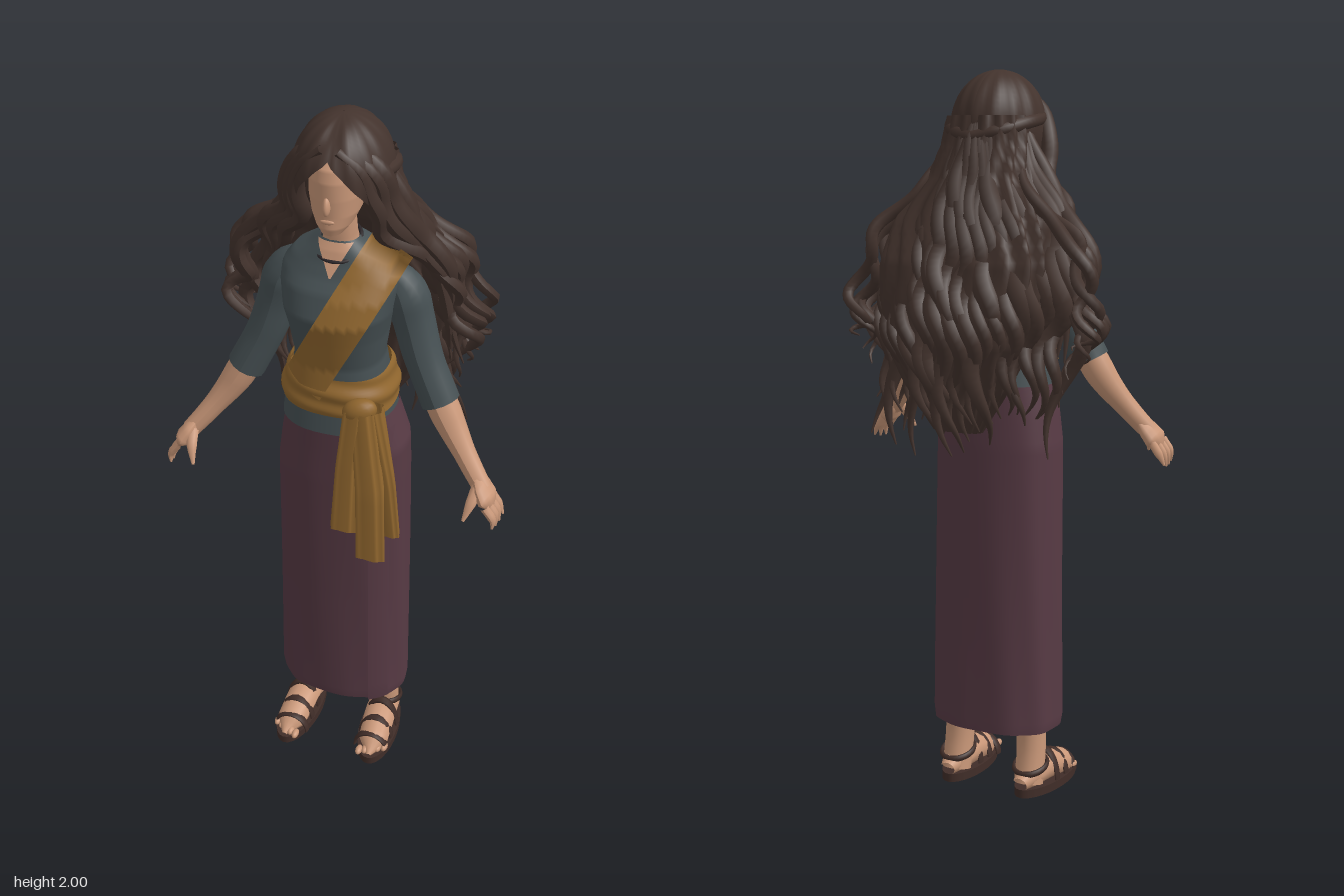
import * as THREE from 'three';
import { ParametricGeometry } from 'three/addons/geometries/ParametricGeometry.js';

const mat = (name, color, side = THREE.DoubleSide) => {
  const m = new THREE.MeshStandardMaterial({ color, side });
  m.name = name;
  return m;
};
const lerp = THREE.MathUtils.lerp;
const V = (p) => new THREE.Vector3(...p);
const spow = (v, e) => Math.sign(v) * Math.pow(Math.abs(v), e);

// Cross-section at height y from rows [y, halfWidth, zFront, zBack, xCentre]
function at(secs, y) {
  let i = 0;
  while (i < secs.length - 2 && y > secs[i + 1][0]) i++;
  const a = secs[i], b = secs[i + 1];
  const t = THREE.MathUtils.clamp((y - a[0]) / (b[0] - a[0]), 0, 1);
  return [1, 2, 3, 4].map((k) => lerp(a[k] ?? 0, b[k] ?? 0, t));
}
const N = 2.4; // roundness of the body sections

// Skin through stacked sections; grow offsets it, ridge(a, y) ripples it
function loft(secs, { grow = () => 0, ridge = () => 1, rows = 32, segs = 40, n = N } = {}) {
  const y0 = secs[0][0], y1 = secs[secs.length - 1][0];
  return new ParametricGeometry((u, v, p) => {
    const a = u * Math.PI * 2 - Math.PI, y = lerp(y0, y1, v);
    const [hw, zf, zb, xc] = at(secs, y), g = grow(v, a), r = ridge(a, y);
    p.set(xc + (hw + g) * r * spow(Math.sin(a), 2 / n), y,
      (zf + zb) / 2 + ((zf - zb) / 2 + g) * r * spow(Math.cos(a), 2 / n));
  }, segs, rows);
}
// Depth of a section stack at (x, y); dir +1 is front, -1 is back
function surf(secs, x, y, dir, g) {
  const [hw, zf, zb, xc] = at(secs, y);
  const k = Math.min(Math.abs(x - xc) / (hw + g), 1);
  return (zf + zb) / 2 + dir * ((zf - zb) / 2 + g) * Math.pow(1 - Math.pow(k, N), 1 / N);
}
// Tube with changing radius and an optional squash per axis
function taper(pts, radii, seg = 16, sides = 10, squash = [1, 1, 1]) {
  const curve = new THREE.CatmullRomCurve3(pts.map(V));
  const g = new THREE.TubeGeometry(curve, seg, 1, sides), pos = g.attributes.position;
  const p = new THREE.Vector3(), sq = V(squash);
  for (let i = 0; i < pos.count; i++) {
    const t = Math.floor(i / (sides + 1)) / seg, c = curve.getPointAt(t);
    const f = t * (radii.length - 1), j = Math.min(Math.floor(f), radii.length - 2);
    p.fromBufferAttribute(pos, i).sub(c).multiply(sq).multiplyScalar(lerp(radii[j], radii[j + 1], f - j)).add(c);
    pos.setXYZ(i, p.x, p.y, p.z);
  }
  g.computeVertexNormals();
  return g;
}

const TORSO = [[1.165, .152, .215, -.05], [1.22, .145, .21, -.042], [1.3, .125, .2, -.03],
  [1.36, .116, .195, -.02], [1.44, .128, .21, -.03], [1.5, .142, .222, -.035], [1.56, .152, .2, -.035],
  [1.6, .152, .17, -.03], [1.64, .12, .15, -.01], [1.67, .075, .14, .01], [1.69, .05, .13, .04]];
const SKIRT = [[.19, .183, .185, -.07, .003], [.22, .188, .188, -.07, .003], [.6, .184, .192, -.06, .004],
  [1, .18, .2, -.05, .006], [1.1, .172, .2, -.045, .012], [1.2, .145, .2, -.04, .005]];
const HEAD = [[1.72, .004, .16, .14], [1.727, .028, .178, .09], [1.75, .046, .187, .05], [1.78, .06, .187, .03],
  [1.82, .069, .19, 0], [1.87, .072, .192, -.03], [1.9, .068, .186, -.03], [1.93, .056, .162, -.02], [1.965, .02, .1, 0]];
const MANE = [[1.06, .07, -.14, -.19], [1.18, .15, -.115, -.23], [1.3, .21, -.09, -.25], [1.4, .235, -.06, -.235],
  [1.5, .24, -.05, -.215], [1.6, .225, -.03, -.17], [1.65, .2, 0, -.15], [1.72, .15, .06, -.125],
  [1.8, .125, .1, -.1], [1.88, .11, .1, -.085]];

export function createModel() {
  const skin = mat('skin', 0xca9879, THREE.FrontSide), hair = mat('hair', 0x43332d);
  const shirt = mat('shirt', 0x465053), sash = mat('sash', 0x90662e), skirt = mat('skirt', 0x573a44);
  const leather = mat('sandal leather', 0x402d28), beads = mat('beads', 0x2b2528);
  const model = new THREE.Group();
  const add = (name, geo, m, pos, scale, rot) => {
    const mesh = new THREE.Mesh(geo, m);
    mesh.name = name;
    if (pos) mesh.position.set(...pos);
    if (scale) mesh.scale.set(...scale);
    if (rot) mesh.rotation.set(...rot);
    model.add(mesh);
  };
  const ball = new THREE.SphereGeometry(1, 16, 12);

  // Head and neck
  add('head', loft(HEAD, { n: 2.1 }), skin);
  add('nose', ball, skin, [0, 1.812, .187], [.01, .026, .016], [-.25, 0, 0]);
  add('lips', ball, skin, [0, 1.768, .184], [.018, .007, .006]);
  add('neck', taper([[0, 1.6, .07], [0, 1.68, .085], [0, 1.78, .1]], [.058, .045, .043]), skin);
  add('neckline', new ParametricGeometry((u, v, p) => {
    const y = lerp(1.605, 1.688, v), x = (u * 2 - 1) * (.002 + .044 * v);
    p.set(x, y, surf(TORSO, x, y, 1, .005));
  }, 10, 10), skin);
  for (const [y, z, r] of [[1.682, .088, .052], [1.664, .094, .063]])
    add('necklace', new THREE.TorusGeometry(r, .005, 6, 28), beads, [0, y, z], [1, 1, 1], [Math.PI / 2 + .35, 0, 0]);

  // Clothes
  add('shirt', loft(TORSO), shirt);
  add('skirt', loft(SKIRT, { segs: 64,
    ridge: (a, y) => 1 + .012 * Math.sin(a * 9 + y * 4) * (1.25 - y) }), skirt);
  add('skirtOverlap', new ParametricGeometry((u, v, p) => {
    const y = lerp(.195, 1.17, v), x = lerp(.112, .16, u);
    p.set(x, y, surf(SKIRT, x, y, 1, .012 - .008 * u));
  }, 6, 16), skirt);
  const belt = [1.225, 1.25, 1.28, 1.31, 1.33].map((y) => [y, ...at(TORSO, y)]);
  add('waistSash', loft(belt, { rows: 16, segs: 48,
    grow: (v, a) => .008 + .01 * Math.sin(v * Math.PI) + .003 * Math.sin(v * 12 + a * 2) }), sash);
  add('shoulderSash', new ParametricGeometry((u, v, p) => {
    const dir = v < .5 ? 1 : -1, k = 1 - Math.abs(v * 2 - 1), e = (u * 2 - 1) * .059;
    const x = lerp(-.064, .13, k) + e * .87, y = lerp(1.3, 1.67, k) - e * .48;
    const top = THREE.MathUtils.smoothstep(k, .93, 1);
    p.set(x, y, lerp(surf(TORSO, x, y, dir, .018), .068, top));
  }, 10, 60), sash);
  add('sashKnot', ball, sash, [.095, 1.265, .222], [.046, .034, .03], [0, .2, .3]);
  const tails = [
    [[.91, .036, .285, .258, .068], [1.1, .032, .268, .235, .072], [1.27, .03, .25, .2, .085]],
    [[.84, .04, .298, .262, .145], [1.05, .038, .28, .235, .135], [1.27, .03, .25, .2, .105]],
    [[.88, .024, .235, .205, .183], [1.05, .026, .235, .2, .165], [1.27, .025, .235, .18, .125]]];
  for (const t of tails)
    add('sashTail', loft(t, { rows: 10, segs: 24, n: 3, ridge: (a) => 1 + .1 * Math.sin(a * 6) }), sash);

  for (const s of [1, -1]) {
    // Arm and hand
    const P = (...pts) => pts.map(([x, y, z]) => [s * x, y, z]);
    add('sleeve', taper(P([.1, 1.6, .06], [.152, 1.55, .053], [.18, 1.46, .05], [.212, 1.36, .062], [.268, 1.24, .08]),
      [.03, .058, .054, .051, .052], 22, 14), shirt);
    add('forearm', taper(P([.24, 1.3, .075], [.3, 1.19, .095], [.365, 1.1, .13], [.41, 1.045, .155]),
      [.043, .042, .03, .025], 16, 12), skin);
    add('palm', taper(P([.385, 1.08, .138], [.41, 1.045, .155], [.43, 1.015, .165], [.442, .99, .172]),
      [.016, .033, .038, .004], 14, 12, [.6, .8, 1.3]), skin);
    for (let k = 0; k < 4; k++) {
      const z = .127 + k * .024;
      add('finger', taper(P([.428, 1.02, z + .003], [.452, .985, z + .004], [.464 - k * .004, .95 + Math.abs(k - 1.5) * .006, z + .008]),
        [.012, .0115, .003], 8, 7), skin);
    }
    add('thumb', taper(P([.4, 1.055, .165], [.39, 1.02, .2], [.378, .98, .225]), [.018, .014, .004], 8, 7), skin);

    // Leg, foot and sandal
    add('leg', taper(P([.105, .5, .045], [.112, .25, .04], [.117, .12, .037], [.118, .03, .02]),
      [.054, .052, .042, .042], 14, 14), skin);
    add('foot', taper(P([.118, .04, -.032], [.12, .052, .02], [.123, .058, .09], [.128, .044, .16], [.132, .033, .21], [.133, .028, .243]),
      [.022, .041, .047, .046, .043, .006], 24, 14, [1, .9, 1]), skin);
    for (let k = 0; k < 5; k++)
      add('toe', ball, skin, [s * (.101 + k * .017), .031, .234 - k * .009], [.01, .011, .018]);
    add('sandalSole', new THREE.CylinderGeometry(1, 1, .024, 28), leather,
      [s * .125, .012, .11], [.057, 1, .142], [0, s * .06, 0]);
    for (const [z, h] of [[.195, .068], [.145, .086], [.09, .108]])
      add('sandalStrap', new THREE.TorusGeometry(1, .1, 6, 16, Math.PI), leather, [s * .126, .016, z], [.049, h - .014, .13]);
    add('heelStrap', new THREE.TorusGeometry(.046, .006, 6, 24), leather, [s * .119, .08, .03], [1, 1.15, 1.6], [Math.PI / 2 - .25, 0, 0]);
  }

  // Hair cap with a centre parting, open over the face
  add('hairCap', new ParametricGeometry((u, v, p) => {
    const a = u * Math.PI * 2 - Math.PI, f = Math.abs(a);
    const edge = Math.asin(Math.max(.54 - .95 * f, -.6)), e = lerp(edge, Math.PI / 2 - .01, v);
    const w = 1 + .015 * Math.sin(f * 14 + v * 4);
    const x = .124 * w * Math.sin(a) * Math.cos(e), z = .058 + .144 * w * Math.cos(a) * Math.cos(e);
    p.set(x, 1.852 + .148 * Math.sin(e) - (z > .06 ? .01 * Math.exp(-((x / .02) ** 2)) * Math.min(1, (z - .06) * 12) : 0), z);
  }, 64, 20), hair);
  add('hairMass', loft(MANE, { segs: 72, rows: 40,
    ridge: (a, y) => 1 + .045 * Math.sin(a * 16 + 2.5 * Math.sin(y * 16)) }), hair);

  // Wavy locks over the back and sides, wider on the right
  let seed = 7;
  const rnd = () => (seed = (seed * 16807) % 2147483647) / 2147483647;
  const lock = (knots, r, amp) => {
    const base = new THREE.CatmullRomCurve3(knots.map(V)), ph = rnd() * 6.3, pts = [];
    for (let i = 0; i <= 24; i++) {
      const t = i / 24, p = base.getPoint(t), w = amp * Math.min(1, t * 1.5);
      pts.push([p.x + w * Math.sin(t * 21 + ph), p.y, p.z + w * .7 * Math.cos(t * 21 + ph)]);
    }
    add('hairLock', taper(pts, [r * .5, r, r * 1.1, r, r * .75, .002], 48, 6), hair);
  };
  const flare = (s) => (s < 0 ? 1.04 : .85);
  const COUNT = 30;
  for (let i = 0; i < COUNT; i++) {
    const s = (i / (COUNT - 1)) * 2 - 1, b = 1 - s * s, a = Math.abs(s), j = rnd() - .5;
    const wide = (.9 + .2 * rnd()) * flare(s);
    lock([[.09 * s, 1.87, .02 - .09 * b], [.16 * s, 1.73, .01 - .125 * b], [.255 * s * wide, 1.58, -.04 - .13 * b],
      [.3 * s * wide, 1.42, -.09 - .135 * b], [.285 * s * wide, 1.25 + .03 * a, -.13 - .12 * b + j * .02],
      [(.2 + .06 * a) * s, 1.02 + .06 * a + j * .14, -.15 - .04 * b]], .021 + .01 * rnd(), .025);
  }
  for (const s of [1, -1]) {
    // Outer curls
    const o = s * flare(s);
    for (let k = 0; k < 5; k++)
      lock([[s * .11, 1.78, .05 - k * .02], [s * .18, 1.67, -k * .025], [o * (.27 + k * .012), 1.56, -.03 - k * .03],
        [o * (.32 + k * .01), 1.43, -.06 - k * .028], [o * (.345 + k * .005), 1.33, -.09 - k * .02],
        [o * (.25 + .025 * k), 1.14 + .04 * k, -.11 - k * .015]], .0165, .03);
    // Front locks framing the face
    for (let k = 0; k < 3; k++)
      lock([[s * .02, 1.945 + k * .008, .165 - k * .03], [s * (.076 + k * .016), 1.89, .152 - k * .02],
        [s * (.096 + k * .02), 1.8, .118 - k * .02], [s * (.108 + k * .028), 1.71, .083 - k * .02],
        [s * (.17 + k * .03), 1.63, .01 - k * .01], [s * .24, 1.5, -.05], [s * (.23 + k * .025), 1.25, -.1]], .022, .012);
    // Twist drawn round to the back of the head
    add('hairTwist', taper([[s * .07, 1.905, .155], [s * .11, 1.875, .09], [s * .112, 1.86, 0], [s * .07, 1.84, -.065], [0, 1.825, -.09]],
      [.006, .016, .018, .018, .016], 24, 8), hair);
  }
  return model;
}
